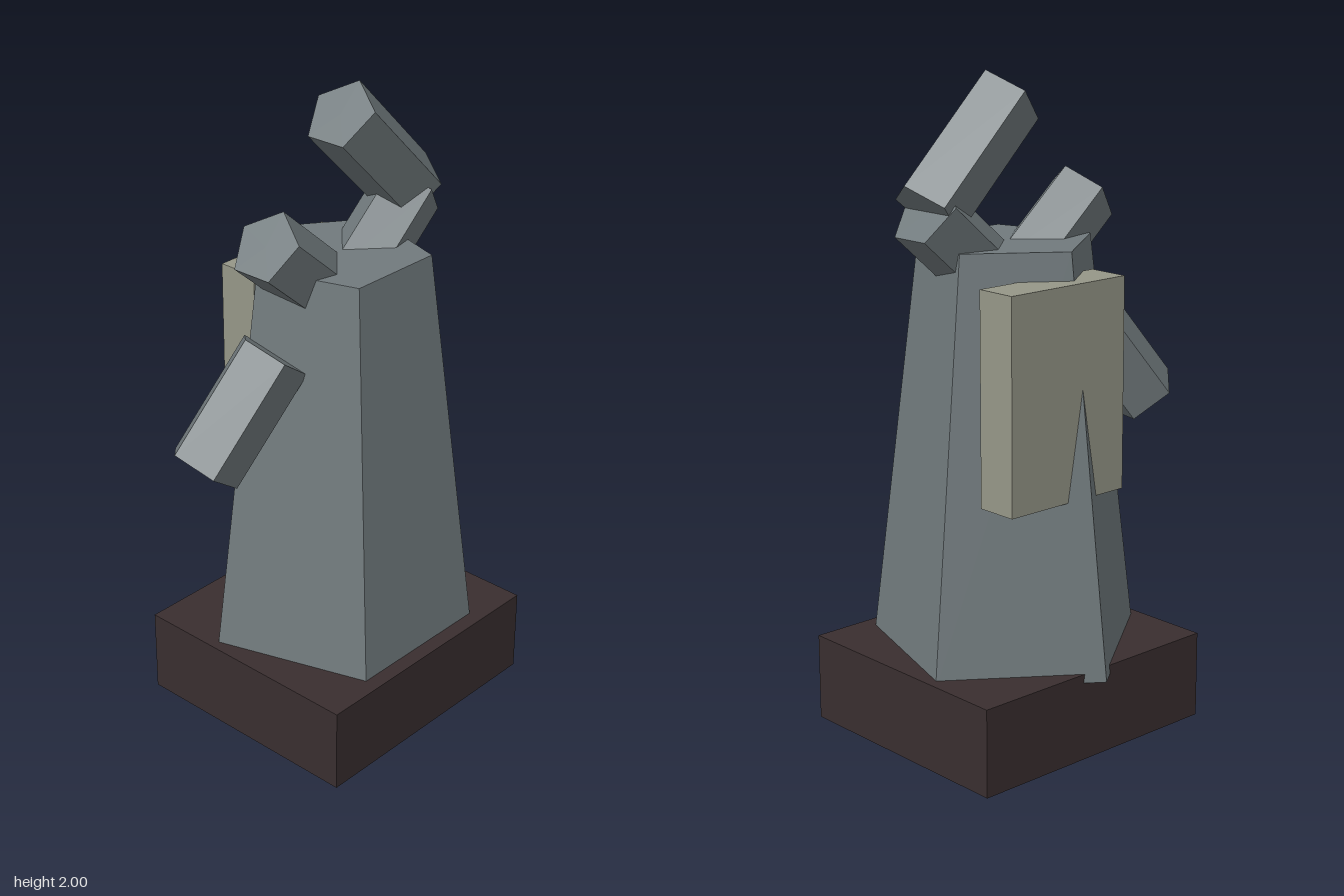
import * as THREE from 'three';

const CX = 0.08; // centre of the tower and plinth
const CZ = 0.02;

const makeMaterial = (name, color) => {
  const material = new THREE.MeshStandardMaterial({ color });
  material.name = name;
  return material;
};

export function createModel() {
  const group = new THREE.Group();
  const stone = makeMaterial('slate grey', 0x717a7d);
  const dark = makeMaterial('dark brown', 0x392e2f);
  const tan = makeMaterial('dull khaki', 0x969788);

  const add = (name, geometry, material, x = 0, y = 0, z = 0) => {
    // flat facets stored in the geometry, so materials only hold a colour
    const flat = geometry.toNonIndexed();
    flat.computeVertexNormals();
    const mesh = new THREE.Mesh(flat, material);
    mesh.name = name;
    mesh.position.set(x, y, z);
    group.add(mesh);
    return mesh;
  };

  // Five-sided prism between two points, one corner pointing along ridge
  const addPrism = (name, from, to, ridge, radius) => {
    const a = new THREE.Vector3(...from);
    const b = new THREE.Vector3(...to);
    const yAxis = b.clone().sub(a);
    const length = yAxis.length();
    yAxis.normalize();
    const xAxis = yAxis.clone().cross(new THREE.Vector3(...ridge)).normalize();
    const zAxis = xAxis.clone().cross(yAxis);
    const mesh = add(name, new THREE.CylinderGeometry(radius, radius, length, 5), stone);
    mesh.quaternion.setFromRotationMatrix(new THREE.Matrix4().makeBasis(xAxis, yAxis, zAxis));
    mesh.position.copy(a).add(b).multiplyScalar(0.5);
  };

  // Plinth
  add('plinth', new THREE.BoxGeometry(0.87, 0.27, 0.78), dark, CX, 0.135, CZ);

  // Tapered five-sided body, one corner to the back
  const body = add('body', new THREE.CylinderGeometry(0.271, 0.428, 1.26, 5), stone, CX, 0.873, 0.018);
  body.rotation.y = Math.PI;

  // Slab on the back
  add('backPack', new THREE.BoxGeometry(0.44, 0.64, 0.132), tan, 0.135, 1.1, -0.236);

  // Upper arms, mirrored about the body
  for (const [name, side] of [['leftUpperArm', 1], ['rightUpperArm', -1]]) {
    addPrism(name,
      [CX + side * 0.01, 1.353, CZ],
      [CX + side * 0.309, 1.613, CZ],
      [-side * 0.655, 0.755, 0], 0.112);
  }

  // Raised left forearm and hanging right forearm
  addPrism('leftForearm', [0.385, 1.619, CZ], [0.081, 1.921, CZ], [0.705, 0.71, 0], 0.113);
  addPrism('rightForearm', [-0.2, 1.268, 0.015], [-0.429, 0.96, -0.051], [-0.78, 0.6, -0.19], 0.116);

  return group;
}
